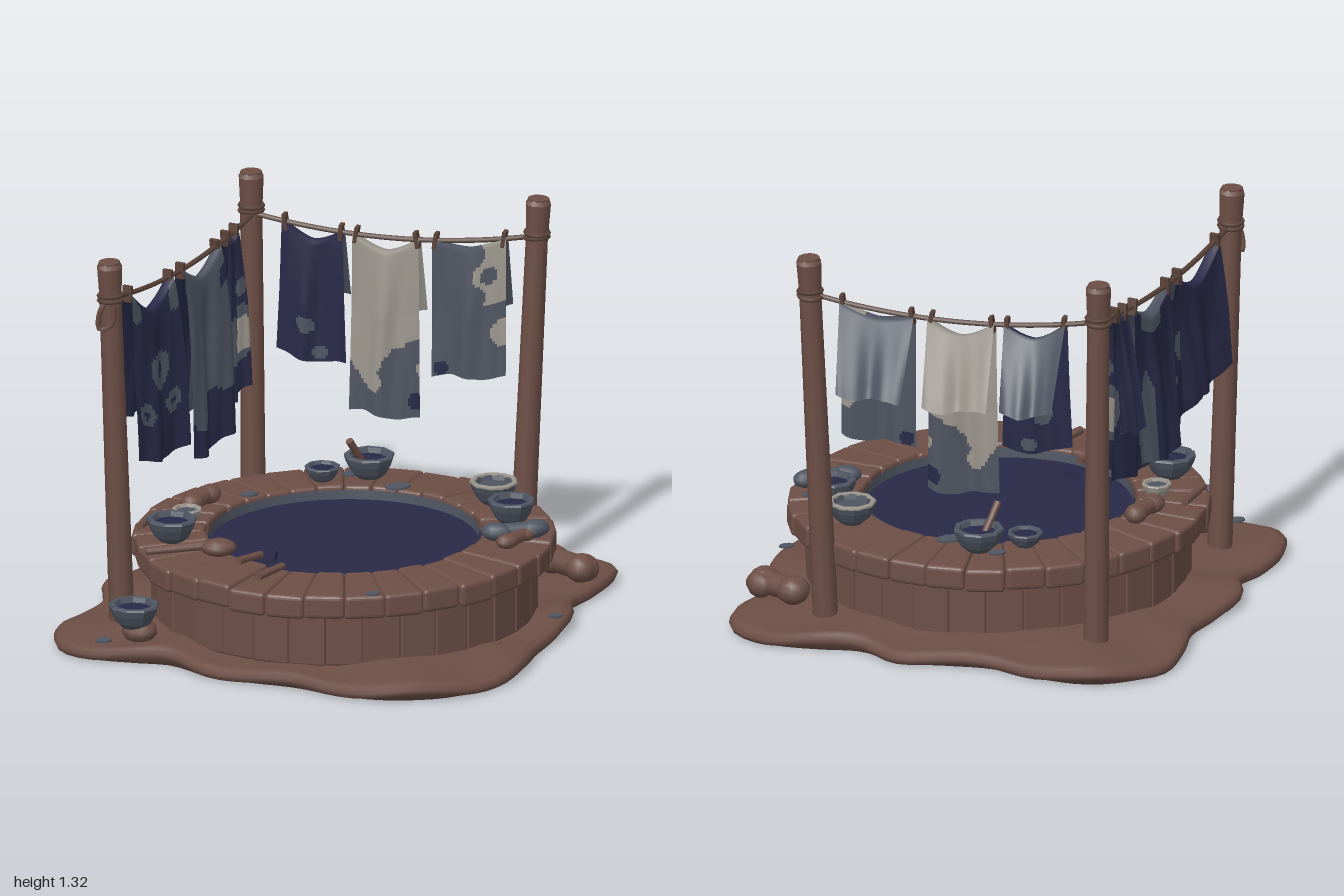
import * as THREE from 'three';
import { RoundedBoxGeometry } from 'three/addons/geometries/RoundedBoxGeometry.js';

const V = (x, y, z) => new THREE.Vector3(x, y, z);
let seed = 7;
const rnd = (a, b) => { seed = (seed * 16807) % 2147483647; return a + (b - a) * seed / 2147483647; };

export function createModel() {
  const root = new THREE.Group();
  const mat = (name, color, opt = {}) => Object.assign(new THREE.MeshStandardMaterial({ color, ...opt }), { name });
  const D = { side: THREE.DoubleSide };
  const clay = mat('clay brown', 0x6d4f46), rope = mat('rope brown', 0x5a4339);
  const navy = mat('indigo', 0x292948, D), slate = mat('slate blue', 0x4f5562, D), beige = mat('undyed linen', 0x9c978e, D);
  const add = (name, geo, m, parent = root) => {
    const o = new THREE.Mesh(geo, m); o.name = name; parent.add(o); return o;
  };
  const group = (name, x = 0, y = 0, z = 0) => {
    const g = new THREE.Group(); g.name = name; g.position.set(x, y, z); root.add(g); return g;
  };
  // Tapered round bar between two points
  const bar = (name, a, b, r0, r1, m, parent = root, sides = 10) => {
    const o = add(name, new THREE.CylinderGeometry(r1, r0, a.distanceTo(b), sides), m, parent);
    o.position.copy(a).lerp(b, 0.5);
    o.quaternion.setFromUnitVectors(V(0, 1, 0), b.clone().sub(a).normalize());
    return o;
  };
  // Squashed lump
  const lump = (name, p, s, m, turn = 0, parent = root) => {
    const o = add(name, new THREE.SphereGeometry(1, 10, 7), m, parent);
    o.position.set(...p); o.scale.set(...s); o.rotation.y = turn; return o;
  };

  // Ground slab: mirrored four-lobed outline with a rounded lip
  const half = [[0, -.97], [.14, -.935], [.27, -.81], [.37, -.665], [.5, -.57], [.63, -.48], [.7, -.33], [.82, -.25], [.94, -.15], [1, 0],
    [.95, .1], [.84, .19], [.73, .27], [.67, .41], [.57, .53], [.44, .65], [.35, .77], [.22, .89], [0, .955]];
  const edge = [...half, ...half.slice(1, -1).reverse().map(([x, z]) => [-x, z])].map(([x, z]) => V(x, 0, z));
  const N = 120, ring = new THREE.CatmullRomCurve3(edge, true).getSpacedPoints(N).slice(0, N);
  const rings = [[0, 0], [.965, 0], [.992, .012], [1, .03], [.985, .047], [.95, .053], [.88, .05], [.78, .058], [.66, .07], [0, .07]];
  const gp = [], gi = [];
  rings.forEach(([s, y], k) => ring.forEach((p, j) => {
    const wave = k > 1 && k < 8 ? .008 * Math.sin(j * .63) + .005 * Math.sin(j * .31 + 1) : 0;
    gp.push(p.x * s, Math.max(0, y + wave), p.z * s);
    const a = k * N + j, b = k * N + (j + 1) % N;
    if (k < rings.length - 1) gi.push(a, a + N, b, b, a + N, b + N);
  }));
  const ground = new THREE.BufferGeometry();
  ground.setAttribute('position', new THREE.Float32BufferAttribute(gp, 3));
  ground.setIndex(gi); ground.computeVertexNormals();
  add('ground', ground, clay);

  // Dye vat: staves, wedge-shaped rim blocks, dye surface
  const vat = group('vat', 0, 0, .06);
  vat.scale.z = .96;
  add('vatCore', new THREE.CylinderGeometry(.625, .63, .19, 48), clay, vat).position.y = .15;
  const staves = 32, blocks = 32;
  for (let i = 0; i < staves; i++) {
    const h = new THREE.Group(); h.rotation.y = i / staves * Math.PI * 2; vat.add(h);
    add('stave', new RoundedBoxGeometry(.05, .2, 2 * Math.PI * .637 / staves, 2, .008), clay, h)
      .position.set(.614 + rnd(-.004, .004), .15, 0);
  }
  for (let i = 0; i < blocks; i++) {
    const g = new RoundedBoxGeometry(.24, .08, 2 * Math.PI * .575 / blocks * rnd(.99, 1.02), 2, .014), p = g.attributes.position;
    for (let j = 0; j < p.count; j++) {
      const x = p.getX(j);
      p.setZ(j, p.getZ(j) * (.575 + x) / .575);
      p.setY(j, p.getY(j) - (x > .07 ? .01 : 0));
    }
    g.computeVertexNormals();
    const h = new THREE.Group(); h.rotation.y = (i + .5) / blocks * Math.PI * 2; vat.add(h);
    add('rimBlock', g, clay, h).position.set(.575 + rnd(-.007, .007), .278 + rnd(-.004, .004), 0);
  }
  add('dyeSurface', new THREE.CylinderGeometry(.465, .465, .02, 48), navy, vat).position.y = .265;
  add('dyeStainBand', new THREE.CylinderGeometry(.447, .444, .032, 48, 1, true), slate, vat).position.y = .29;

  // Posts with thicker heads and rope lashings
  const posts = [[V(-.735, .04, -.08), V(-.785, 1.31, -.07)], [V(0, .04, -.69), V(0, 1.32, -.71)], [V(.695, .04, -.08), V(.757, 1.32, -.08)]];
  for (const [a, b] of posts) {
    const g = group('post');
    bar('postShaft', a, b, .042, .036, clay, g);
    const at = t => a.clone().lerp(b, t);
    bar('postHead', at(.915), at(.985), .04, .044, clay, g, 8);
    bar('postTip', at(.985), at(1), .044, .034, clay, g, 8);
    for (const t of [.895, .908]) {
      const w = add('lashing', new THREE.TorusGeometry(.039, .007, 6, 16), rope, g);
      w.position.copy(at(t)); w.rotation.x = Math.PI / 2 + rnd(-.15, .15);
    }
  }
  // Loose rope end on the one outer post
  const loose = [V(-.79, 1.19, -.05), V(-.82, 1.15, -.06), V(-.82, 1.08, -.07), V(-.79, 1.1, -.04), V(-.785, 1.17, -.03)];
  add('ropeEnd', new THREE.TubeGeometry(new THREE.CatmullRomCurve3(loose), 16, .009, 6), clay);

  // Sagging lines and the cloths hung over them
  const L = V(-.77, 1.18, -.08), M = V(0, 1.18, -.69), R = V(.745, 1.19, -.08);
  const onRope = (a, b, t) => a.clone().lerp(b, t).setY(a.y + (b.y - a.y) * t - .19 * t * (1 - t));
  for (const [a, b] of [[L, M], [M, R]]) {
    const pts = [];
    for (let i = 0; i <= 10; i++) pts.push(onRope(a, b, i / 10));
    add('clothesLine', new THREE.TubeGeometry(new THREE.CatmullRomCurve3(pts), 30, .009, 6), rope);
  }
  // drops and leans: front, back; widths: scale at the line, front hem and back hem; paint gives 0 indigo, 1 slate, 2 linen
  const cloth = (name, a, b, [t0, t1], [front, back], [lean, kick], dip, widths, paint) => {
    const U = 32, W = 64, pos = [], idx = [[], [], []], ph = t0 * 20, mid = (t0 + t1) / 2;
    const out = V(b.z - a.z, 0, a.x - b.x).normalize();
    const total = front + back;
    for (let j = 0; j <= W; j++) for (let i = 0; i <= U; i++) {
      const u = i / U, s = -front + total * j / W, d = Math.abs(s), k = d / (s < 0 ? front : back);
      const wide = widths[0] + (widths[s < 0 ? 1 : 2] - widths[0]) * k;
      const p = onRope(a, b, mid + (u - .5) * (t1 - t0) * wide);
      const fold = Math.min(1, d * 4) * (.013 * Math.sin(u * 9 + ph) + .004 * Math.sin(u * 19 + ph + d * 5));
      p.addScaledVector(out, s < 0 ? -.012 - lean * Math.sqrt(k) + fold : .012 + kick * k + fold);
      p.y += .01 - d - dip * (1 - Math.abs(2 * u - 1) ** 1.5) * (1 - k) + .01 * k * Math.sin(u * 6 + ph);
      pos.push(p.x, p.y, p.z);
      if (i < U && j < W) {
        const q = j * (U + 1) + i, r = q + U + 1;
        idx[paint(u, d, s > 0)].push(q, q + 1, r, q + 1, r + 1, r);
      }
    }
    const g = new THREE.BufferGeometry();
    g.setAttribute('position', new THREE.Float32BufferAttribute(pos, 3));
    g.setIndex(idx.flat());
    let start = 0;
    idx.forEach((list, m) => { g.addGroup(start, list.length, m); start += list.length; });
    g.computeVertexNormals();
    add(name, g, [navy, slate, beige]);
    for (const e of [-1, 1]) {
      const peg = add('peg', new THREE.BoxGeometry(.013, .055, .032), rope);
      peg.position.copy(onRope(a, b, mid + e * ((t1 - t0) * widths[0] / 2 - .01)));
      peg.rotation.set(0, Math.atan2(out.x, out.z), rnd(-.2, .2));
    }
  };
  const dist = (u, d, cu, cd, w) => Math.hypot((u - cu) * w, d - cd);
  cloth('ringDyedCloth', L, M, [.09, .41], [.59, .45], [.05, .035], .08, [.95, 1, 1], (u, d, back) => {
    if (back) return 0;
    const r = dist(u, d, .5, .26, .32);
    return (r > .035 && r < .077) || [[.16, .43], [.77, .41]].some(c => { const q = dist(u, d, ...c, .32); return q > .014 && q < .04; })
      || dist(u, d, .04, .06, .32) < .045 || dist(u, d, .97, .06, .32) < .05 ? 1 : 0;
  });
  cloth('dipDyedCloth', L, M, [.465, .745], [.65, .57], [.05, .04], .06, [.95, 1, 1], (u, d, back) => back
    ? (u > .62 && d > .28 + .06 * Math.sin(u * 15) || u > .25 && u < .8 && d < .06 ? 1 : 0)
    : (d > .49 - .1 * (u - .5) + .04 * Math.sin(u * 9) || dist(u, d, .95, .1, .28) < .035 ? 0 : 1));
  cloth('narrowCloth', L, M, [.755, .905], [.56, .42], [.02, .05], .02, [.5, 1, 1], (u, d, back) => back ? 0
    : dist(u, d, .7, .37, .15) < .065 ? 2 : dist(u, d, .6, .36, .15) < .1 || dist(u, d, .8, .2, .15) < .03 ? 1 : 0);
  cloth('smallIndigoCloth', M, R, [.085, .34], [.46, .28], [.01, .13], .05, [.85, 1, .75], (u, d, back) => back ? 1
    : dist(u, d, .4, .33, .24) < .03 || dist(u, d, .6, .43, .24) < .025 ? 1 : 0);
  cloth('linenCloth', M, R, [.345, .6], [.62, .29], [.015, .09], .05, [.92, 1, .9], (u, d, back) => back ? 2
    : dist(u, d, .92, .57, .25) < .03 ? 0
    : d > .44 - .07 * Math.sin(u * 7 - 3) && dist(u, d, .3, .5, .25) > .04 || dist(u, d, .9, .4, .25) < .05 ? 1 : 2);
  cloth('slateCloth', M, R, [.637, .9], [.48, .28], [.01, .12], .03, [1, 1, .85], (u, d, back) => back ? 1
    : u > .62 + .08 * Math.sin(d * 40) && d < .23 && dist(u, d, .75, .12, .25) > .03 || dist(u, d, .97, .33, .25) < .05 ? 2
      : dist(u, d, .1, .46, .25) < .025 ? 0 : 1);

  // Bowls of dye with thick rims
  const profile = [[0, 0], [.45, 0], [.72, .25], [.92, .65], [1, .92], [.96, 1], [.78, 1], [.68, .7], [0, .65]];
  const bowl = (x, y, z, r, h, shell, fill, rim = shell) => {
    const g = group('bowl', x, y, z);
    const geo = new THREE.LatheGeometry(profile.map(([a, b]) => new THREE.Vector2(a * r, b * h)), 9).toNonIndexed();
    geo.computeVertexNormals();
    add('bowlShell', geo, shell, g);
    add('bowlDye', new THREE.CylinderGeometry(r * .7, r * .66, .008, 9), fill, g).position.y = h * .74;
    if (rim !== shell) {
      const lip = add('bowlRim', new THREE.TorusGeometry(r * .9, r * .13, 6, 9), rim, g);
      lip.position.y = h * .97; lip.rotation.x = Math.PI / 2; lip.scale.z = .7;
    }
  };
  bowl(-.77, .095, .1, .085, .08, slate, navy);
  bowl(-.57, .32, -.05, .085, .08, slate, navy);
  bowl(-.45, .32, -.2, .05, .05, beige, slate);
  bowl(.13, .32, -.42, .06, .05, slate, navy);
  bowl(.285, .32, -.39, .085, .08, slate, navy);
  bowl(.555, .32, .015, .08, .075, slate, slate, beige);
  bowl(.53, .32, .22, .08, .08, slate, navy);
  lump('bowlStone', [-.75, .08, .1], [.06, .04, .06], clay);
  bar('stirringStick', V(.27, .36, -.39), V(.2, .465, -.36), .011, .013, clay);

  // Ladle, paddle and wringing sticks on the rim
  bar('ladleHandle', V(-.71, .335, .06), V(-.5, .345, .11), .012, .016, clay);
  lump('ladleHead', [-.48, .34, .13], [.06, .03, .045], clay, -.3);
  bar('paddleShaft', V(-.47, .335, .27), V(-.36, .32, .2), .013, .013, clay);
  const blade = add('paddleBlade', new THREE.BoxGeometry(.06, .02, .08), navy);
  blade.position.set(-.325, .295, .175); blade.rotation.set(0, -.5, .25);
  bar('rimStick', V(-.47, .33, .43), V(-.35, .33, .36), .014, .012, clay);
  bar('rimStick', V(-.62, .33, -.2), V(-.5, .33, -.31), .013, .013, clay);

  // Tied cloth bundles on the rim and on the ground
  const bundle = (x, y, z, r, len, turn, m) => {
    const g = group('bundle', x, y, z); g.rotation.y = turn;
    for (const s of [-1, 1]) lump('bundleEnd', [s * len * .3, 0, 0], [len * .24, r, r * 1.2], m, s * .3, g);
    bar('bundleTie', V(-len * .25, 0, 0), V(len * .25, 0, 0), r * .85, r * .85, m, g);
  };
  bundle(.48, .345, .37, .03, .22, -.15, slate);
  bundle(.47, .335, .41, .025, .18, .5, clay);
  bundle(-.34, .345, -.34, .032, .18, .6, clay);
  bundle(.78, .105, .1, .048, .22, -1.2, clay);
  lump('groundStone', [.825, .1, .15], [.045, .045, .055], clay);

  // Dye splashes
  for (const [x, y, z, r] of [[-.17, .312, .69, .025], [-.15, .321, -.38, .03], [.33, .321, -.26, .045], [.24, .321, -.44, .03], [.57, .321, .3, .03], [-.88, .062, .1, .03], [.57, .073, .49, .025]]) {
    const s = add('splash', new THREE.CylinderGeometry(r, r, .006, 9), slate);
    s.position.set(x, y, z); s.scale.z = .7;
  }
  return root;
}
